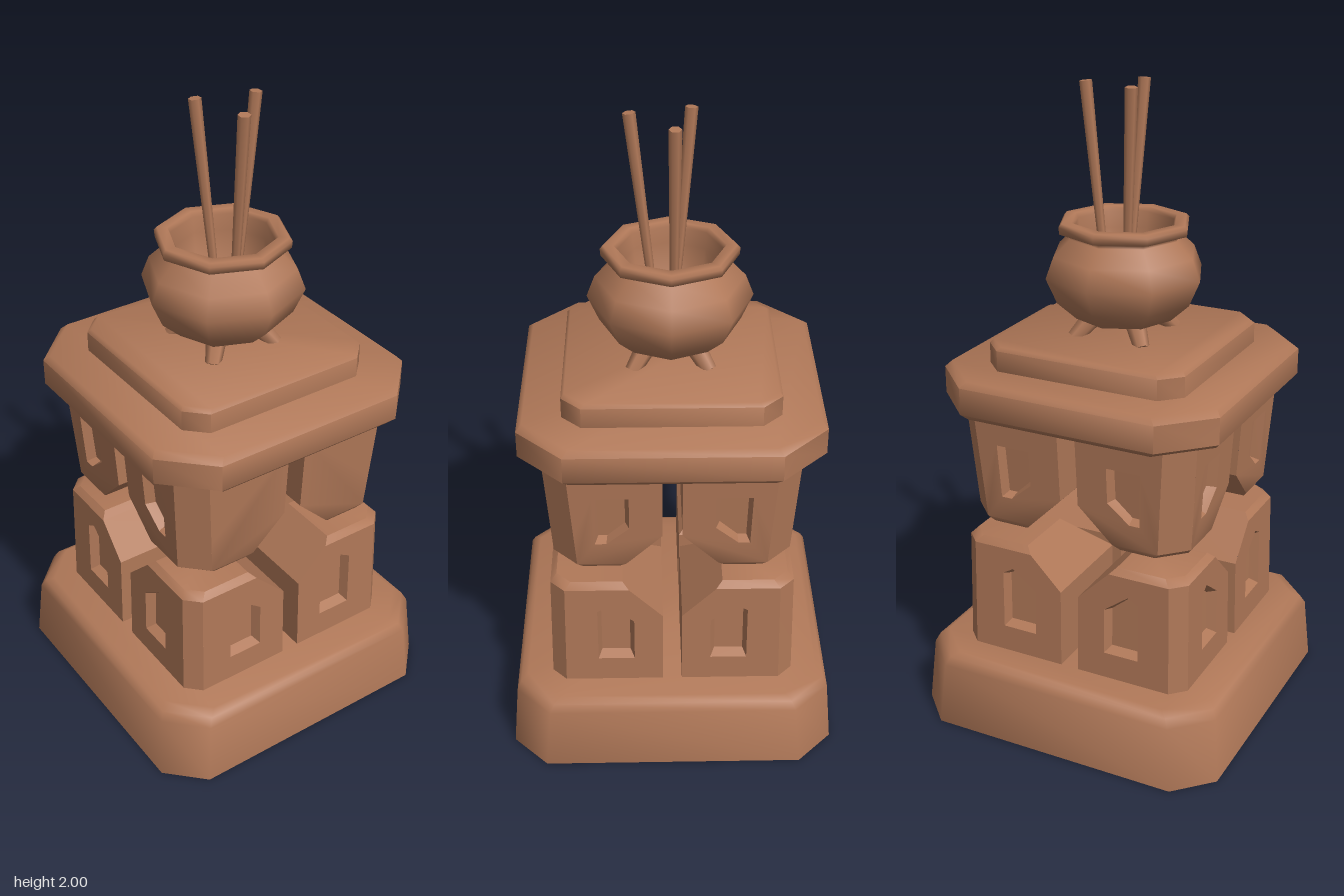
import * as THREE from 'three';
import { toCreasedNormals } from 'three/addons/utils/BufferGeometryUtils.js';

const clay = new THREE.MeshStandardMaterial({ color: 0xb07858 });
clay.name = 'brown clay';

function geometryFrom(pos, crease = 0.9) {
  const g = new THREE.BufferGeometry();
  g.setAttribute('position', new THREE.Float32BufferAttribute(pos, 3));
  return toCreasedNormals(g, crease);
}

function mesh(name, geometry) {
  const m = new THREE.Mesh(geometry, clay);
  m.name = name;
  return m;
}

// Capped loft through rings of [x, y, z]; skip(level, side) leaves a side open
function loft(rings, skip = () => false) {
  const pos = [];
  const tri = (...p) => p.forEach((v) => pos.push(...v));
  const n = rings[0].length;
  for (let k = 0; k < rings.length - 1; k++) {
    for (let i = 0; i < n; i++) {
      if (skip(k, i)) continue;
      const j = (i + 1) % n, A = rings[k], B = rings[k + 1];
      tri(A[i], B[i], B[j]);
      tri(A[i], B[j], A[j]);
    }
  }
  const top = rings[rings.length - 1];
  for (let i = 1; i < n - 1; i++) {
    tri(rings[0][0], rings[0][i], rings[0][i + 1]);
    tri(top[0], top[i + 1], top[i]);
  }
  return pos;
}

// Square slab with cut corners; levels are [y, half width, corner cut]
function slab(name, levels) {
  const rings = levels.map(([y, h, c]) => [
    [c - h, y, -h], [h - c, y, -h], [h, y, c - h], [h, y, h - c],
    [h - c, y, h], [c - h, y, h], [-h, y, h - c], [-h, y, c - h],
  ]);
  return mesh(name, geometryFrom(loft(rings)));
}

// Outer wall of a corner block facing +z, with an optional recessed window
function wallFace(levels, cut, window) {
  const [y0, , b0] = levels[0];
  const [y1, , b1] = levels[levels.length - 1];
  const depth = (y) => b0 + ((b1 - b0) * (y - y0)) / (y1 - y0);
  const right = levels.map(([y, , b]) => new THREE.Vector2(b - cut, y));
  const left = levels.map(([y, a]) => new THREE.Vector2(a, y)).reverse();
  const shape = new THREE.Shape([...right, ...left]);
  if (window) shape.holes.push(new THREE.Path(window.map(([u, y]) => new THREE.Vector2(u, y))));
  const flat = new THREE.ShapeGeometry(shape).toNonIndexed().attributes.position;
  const pos = [];
  for (let i = 0; i < flat.count; i++) pos.push(flat.getX(i), flat.getY(i), depth(flat.getY(i)));
  if (window) {
    const n = window.length;
    const cu = window.reduce((s, p) => s + p[0], 0) / n;
    const cy = window.reduce((s, p) => s + p[1], 0) / n;
    const outer = window.map(([u, y]) => [u, y, depth(y)]);
    const inner = window.map(([u, y]) => [cu + (u - cu) * 0.78, cy + (y - cy) * 0.86, depth(y) - 0.03]);
    for (let i = 0; i < n; i++) {
      const j = (i + 1) % n;
      pos.push(...outer[i], ...outer[j], ...inner[j], ...outer[i], ...inner[j], ...inner[i]);
      if (i > 0 && i < n - 1) pos.push(...inner[0], ...inner[i], ...inner[i + 1]);
    }
  }
  return pos;
}

// Swap x and z, reversing each triangle so it still faces outward
function swapXZ(pos) {
  const out = [];
  for (let i = 0; i < pos.length; i += 9) {
    for (const k of [0, 6, 3]) out.push(pos[i + k + 2], pos[i + k + 1], pos[i + k]);
  }
  return out;
}

// Corner block in the +x +z quadrant; levels are [y, inner edge, outer edge]
function cornerBlock(name, levels, cut, from, to, windowX, windowZ) {
  const rings = levels.map(([y, a, b]) => [
    [a, y, a], [b, y, a], [b, y, b - cut], [b - cut, y, b], [a, y, b],
  ]);
  const open = (k, i) => k >= from && k < to && (i === 1 || i === 3);
  const span = levels.slice(from, to + 1);
  return mesh(name, geometryFrom([
    ...loft(rings, open),
    ...wallFace(span, cut, windowZ),
    ...swapXZ(wallFace(span, cut, windowX)),
  ], 0.7));
}

// Round rod between two points
function rod(name, from, to, rFrom, rTo) {
  const a = new THREE.Vector3(...from), b = new THREE.Vector3(...to);
  const dir = b.clone().sub(a);
  const m = mesh(name, new THREE.CylinderGeometry(rTo, rFrom, dir.length(), 6));
  m.position.copy(a).add(b).multiplyScalar(0.5);
  m.quaternion.setFromUnitVectors(new THREE.Vector3(0, 1, 0), dir.normalize());
  return m;
}

export function createModel() {
  const model = new THREE.Group();
  model.name = 'incenseShrine';

  // Base and stepped roof
  model.add(
    slab('base', [[0, 0.517, 0.11], [0.205, 0.5, 0.11], [0.232, 0.487, 0.11], [0.245, 0.465, 0.11]]),
    slab('roofSlab', [[1.05, 0.44, 0.14], [1.068, 0.457, 0.14], [1.152, 0.457, 0.14], [1.17, 0.44, 0.14]]),
    slab('roofStep', [[1.165, 0.325, 0.06], [1.234, 0.325, 0.06], [1.245, 0.315, 0.06]]),
  );

  // Four lower and four upper corner blocks, separated by a cross-shaped gap
  const lowerLevels = [[0.24, 0.03, 0.385], [0.5, 0.03, 0.3807], [0.605, 0.135, 0.379], [0.625, 0.155, 0.36]];
  const upperLevels = [[0.68, 0.16, 0.35], [0.7, 0.14, 0.366], [0.81, 0.03, 0.3733], [1.06, 0.03, 0.39]];
  const lowerWindow = [[0.12, 0.33], [0.235, 0.33], [0.235, 0.52], [0.2, 0.54], [0.12, 0.48]];
  const upperWindow = [[0.13, 0.84], [0.2, 0.78], [0.235, 0.78], [0.24, 0.955], [0.13, 0.955]];
  for (let i = 0; i < 4; i++) {
    const lower = cornerBlock('lowerBlock', lowerLevels, 0.045, 0, 2, lowerWindow, lowerWindow);
    // The upper front faces stay plain
    const upper = cornerBlock('upperBlock', upperLevels, 0.075, 1, 3,
      i === 1 ? null : upperWindow, i === 0 ? null : upperWindow);
    lower.rotation.y = upper.rotation.y = (-i * Math.PI) / 2;
    model.add(lower, upper);
  }

  // Eight-sided pot with rolled rim and hollow inside
  const profile = [
    [0, 1.275], [0.09, 1.275], [0.155, 1.295], [0.215, 1.35], [0.25, 1.43], [0.225, 1.495],
    [0.172, 1.545], [0.172, 1.555], [0.205, 1.563], [0.207, 1.585], [0.198, 1.595],
    [0.166, 1.595], [0.158, 1.58], [0.152, 1.53], [0.14, 1.43], [0.09, 1.37], [0, 1.35],
  ].map(([r, y]) => new THREE.Vector2(r, y));
  model.add(mesh('pot', new THREE.LatheGeometry(profile, 8)));

  // Splayed pot feet
  for (const sx of [-1, 1]) {
    for (const sz of [-1, 1]) {
      model.add(rod('potFoot', [sx * 0.115, 1.235, sz * 0.115], [sx * 0.06, 1.315, sz * 0.06], 0.024, 0.034));
    }
  }

  // Incense sticks
  const sticks = [
    [[-0.01, 1.35, -0.01], [-0.052, 1.998, -0.062]],
    [[0.053, 1.35, -0.01], [0.122, 1.998, -0.012]],
    [[0.01, 1.35, 0.04], [-0.008, 1.998, 0.115]],
  ];
  for (const [from, to] of sticks) model.add(rod('incenseStick', from, to, 0.011, 0.019));

  return model;
}
